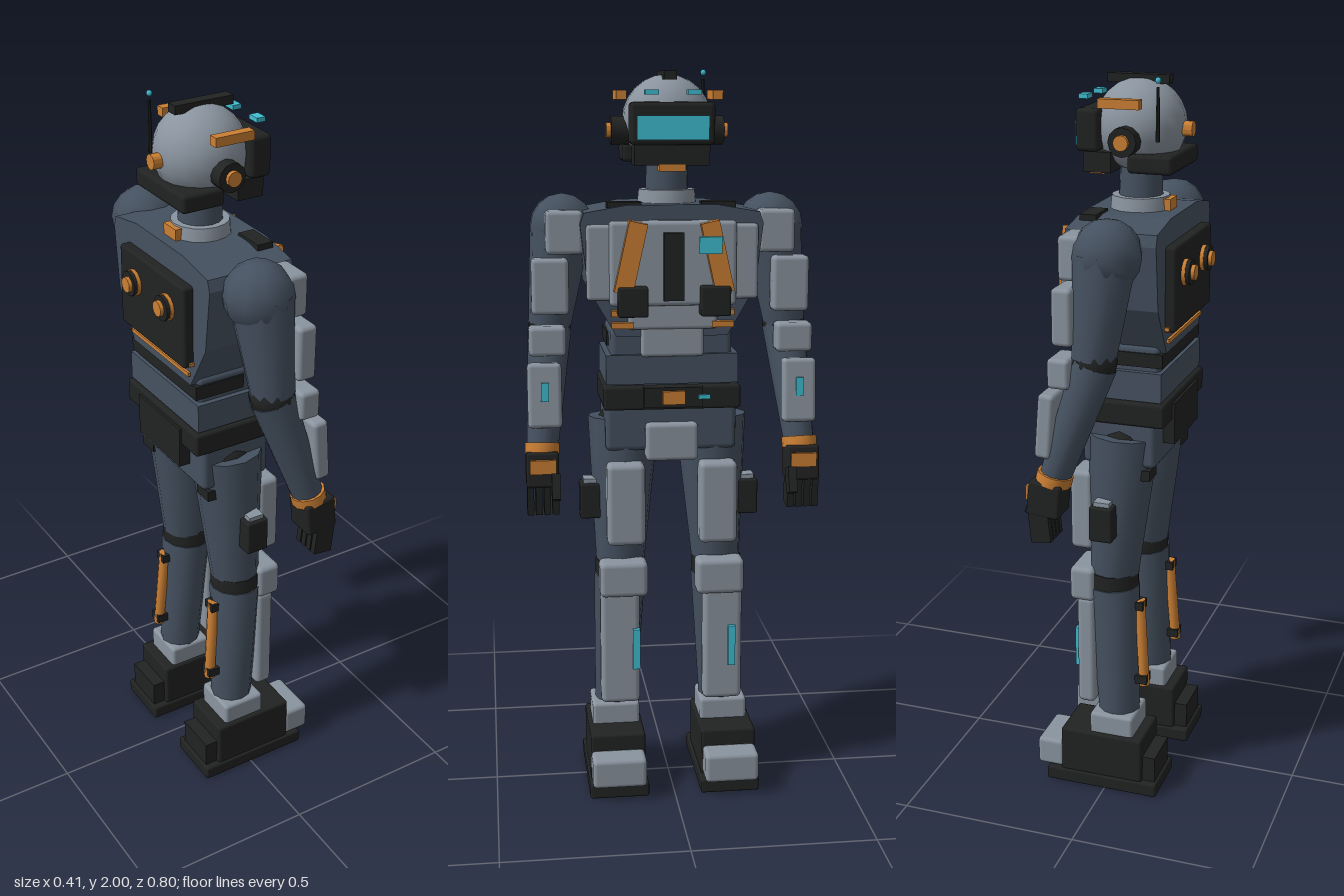
import * as THREE from 'three';
import { RoundedBoxGeometry } from 'three/addons/geometries/RoundedBoxGeometry.js';
import { toCreasedNormals } from 'three/addons/utils/BufferGeometryUtils.js';

const mat = (name, color) => {
  const m = new THREE.MeshStandardMaterial({ color });
  m.name = name;
  return m;
};

// The robot faces +x, so z runs across its body.
export function createModel() {
  const slate = mat('slate suit', 0x455160);
  const grey = mat('grey armour', 0x8a949f);
  const black = mat('black rubber', 0x212222);
  const orange = mat('orange trim', 0xcb7f33);
  const cyan = mat('cyan light', 0x40bfd4);
  const root = new THREE.Group();
  root.name = 'robot';

  const add = (parent, name, geo, m) => {
    const mesh = new THREE.Mesh(geo, m);
    mesh.name = name;
    parent.add(mesh);
    return mesh;
  };
  // Box given by its limits on x, y and z; a positive r rounds its edges
  const box = (p, name, m, [x0, x1], [y0, y1], [z0, z1], r = 0) => {
    const s = [x1 - x0, y1 - y0, Math.abs(z1 - z0)];
    const geo = r ? new RoundedBoxGeometry(...s, 2, r) : new THREE.BoxGeometry(...s);
    const mesh = add(p, name, geo, m);
    mesh.position.set((x0 + x1) / 2, (y0 + y1) / 2, (z0 + z1) / 2);
    return mesh;
  };
  // Tapered cylinder from point a to point b
  const limb = (p, name, m, a, b, ra, rb, sides = 12) => {
    const A = new THREE.Vector3(...a), B = new THREE.Vector3(...b);
    const d = B.clone().sub(A);
    const geo = toCreasedNormals(new THREE.CylinderGeometry(rb, ra, d.length(), sides), 0.8);
    const mesh = add(p, name, geo, m);
    mesh.position.copy(A).add(B).multiplyScalar(0.5);
    mesh.quaternion.setFromUnitVectors(new THREE.Vector3(0, 1, 0), d.normalize());
    return mesh;
  };
  const group = (name) => {
    const g = new THREE.Group();
    g.name = name;
    root.add(g);
    return g;
  };

  // Head
  const head = group('head');
  const skull = add(head, 'skull', new THREE.SphereGeometry(0.121, 18, 12), grey);
  skull.position.set(-0.03, 1.866, 0);
  box(head, 'crest', black, [-0.11, 0.057], [1.972, 1.995], [-0.017, 0.017]);
  box(head, 'visorFrame', black, [0.05, 0.112], [1.805, 1.915], [-0.112, 0.112], 0.012);
  box(head, 'visorGlass', cyan, [0.11, 0.117], [1.818, 1.88], [-0.095, 0.095]);
  box(head, 'jaw', black, [0.02, 0.095], [1.752, 1.805], [-0.1, 0.1]);
  box(head, 'mouth', orange, [0.06, 0.1], [1.737, 1.756], [-0.035, 0.035]);
  box(head, 'napeGuard', black, [-0.15, -0.03], [1.757, 1.805], [-0.12, 0.12], 0.01);
  limb(head, 'napePort', orange, [-0.14, 1.86, 0], [-0.172, 1.86, 0], 0.02, 0.02);
  limb(head, 'antenna', black, [-0.11, 1.84, -0.11], [-0.11, 1.975, -0.11], 0.006, 0.004, 8);
  add(head, 'antennaTip', new THREE.SphereGeometry(0.008, 8, 6), cyan).position.set(-0.11, 1.992, -0.11);
  for (const s of [1, -1]) {
    limb(head, 'ear', black, [-0.028, 1.84, s * 0.09], [-0.028, 1.84, s * 0.152], 0.038, 0.038);
    limb(head, 'earHub', orange, [-0.028, 1.84, s * 0.15], [-0.028, 1.84, s * 0.164], 0.02, 0.02);
    box(head, 'sideStripe', orange, [-0.07, 0.04], [1.921, 1.945], [s * 0.115, s * 0.142]);
    box(head, 'browLight', cyan, [0.09, 0.115], [1.934, 1.946], [s * 0.038, s * 0.074]);
  }

  // Neck
  const neck = group('neck');
  limb(neck, 'neckColumn', slate, [-0.03, 1.64, 0], [-0.03, 1.78, 0], 0.06, 0.055, 14);
  limb(neck, 'collar', grey, [-0.03, 1.61, 0], [-0.03, 1.685, 0], 0.085, 0.077, 16);
  box(neck, 'collarClip', orange, [-0.12, -0.09], [1.645, 1.68], [-0.03, 0.03]);

  // Torso, extruded along x from its outline
  const torso = group('torso');
  const outline = [[0.12, 1.65], [0.235, 1.63], [0.245, 1.6], [0.225, 1.43], [0.15, 1.3]];
  const shape = new THREE.Shape();
  shape.moveTo(...outline[0]);
  outline.slice(1).forEach((q) => shape.lineTo(...q));
  [...outline].reverse().forEach(([z, y]) => shape.lineTo(-z, y));
  const chestGeo = new THREE.ExtrudeGeometry(shape, { depth: 0.245, bevelEnabled: false });
  chestGeo.rotateY(Math.PI / 2).translate(-0.15, 0, 0);
  add(torso, 'chest', chestGeo, slate);
  box(torso, 'sternum', black, [0.11, 0.136], [1.4, 1.58], [-0.027, 0.027]);
  box(torso, 'breastPlate', grey, [0.08, 0.125], [1.385, 1.61], [-0.17, 0.17], 0.012);
  box(torso, 'bellyPlate', grey, [0.06, 0.11], [1.32, 1.4], [-0.12, 0.12], 0.01);
  box(torso, 'lowerBellyPlate', grey, [0.06, 0.105], [1.245, 1.34], [-0.085, 0.085], 0.01);
  box(torso, 'chestLight', cyan, [0.145, 0.153], [1.525, 1.57], [-0.126, -0.065]);
  box(torso, 'backpack', black, [-0.178, -0.12], [1.36, 1.585], [-0.165, 0.165], 0.008);
  box(torso, 'backStripe', orange, [-0.163, -0.06], [1.365, 1.375], [-0.17, 0.17]);
  box(torso, 'lowerBackStripe', orange, [-0.157, -0.06], [1.327, 1.338], [-0.15, 0.15]);
  for (const s of [1, -1]) {
    box(torso, 'sidePlate', grey, [0.07, 0.112], [1.4, 1.6], [s * 0.16, s * 0.23], 0.01);
    const strap = box(torso, 'strap', orange, [0.11, 0.147], [1.42, 1.61], [s * 0.09, s * 0.14]);
    strap.rotation.x = -s * 0.22;
    box(torso, 'chestPouch', black, [0.1, 0.158], [1.36, 1.44], [s * 0.07, s * 0.15], 0.006);
    box(torso, 'shoulderClip', black, [0.035, 0.08], [1.6, 1.657], [s * 0.08, s * 0.172]);
    for (const y of [1.365, 1.333]) {
      box(torso, 'ribStripe', orange, [0.07, 0.115], [y - 0.008, y + 0.008], [s * 0.105, s * 0.165]);
    }
    limb(torso, 'packPlate', orange, [-0.17, 1.505, s * 0.085], [-0.188, 1.505, s * 0.085], 0.036, 0.036);
    limb(torso, 'packDial', black, [-0.18, 1.505, s * 0.085], [-0.198, 1.505, s * 0.085], 0.034, 0.034);
    limb(torso, 'packKnob', orange, [-0.19, 1.505, s * 0.082], [-0.208, 1.505, s * 0.082], 0.021, 0.021);
  }

  // Waist, belt and pelvis
  const hips = group('hips');
  box(hips, 'waist', slate, [-0.135, 0.08], [1.15, 1.32], [-0.165, 0.165], 0.015);
  box(hips, 'waistBand', black, [-0.145, 0.0], [1.262, 1.3], [-0.17, 0.17]);
  box(hips, 'lowerWaist', slate, [-0.145, 0.095], [1.17, 1.25], [-0.18, 0.18]);
  box(hips, 'belt', black, [-0.155, 0.105], [1.1, 1.165], [-0.187, 0.187], 0.008);
  box(hips, 'backPouch', black, [-0.162, -0.08], [1.035, 1.15], [-0.11, 0.11]);
  box(hips, 'buckleBase', black, [0.09, 0.125], [1.11, 1.165], [-0.08, 0.08]);
  box(hips, 'buckle', orange, [0.11, 0.137], [1.12, 1.156], [-0.03, 0.03]);
  box(hips, 'beltLight', cyan, [0.12, 0.13], [1.132, 1.144], [-0.1, -0.068]);
  box(hips, 'pelvis', slate, [-0.13, 0.075], [0.98, 1.11], [-0.18, 0.18], 0.015);
  box(hips, 'groinPlate', grey, [0.04, 0.1], [0.955, 1.06], [-0.072, 0.072], 0.012);

  for (const s of [1, -1]) {
    const side = s > 0 ? 'right' : 'left';

    // Arm
    const arm = group(side + 'Arm');
    const ball = add(arm, 'shoulder', new THREE.SphereGeometry(0.092, 10, 8), slate);
    ball.position.set(-0.035, 1.583, s * 0.285);
    limb(arm, 'upperArm', slate, [-0.03, 1.58, s * 0.29], [-0.012, 1.32, s * 0.325], 0.083, 0.058);
    box(arm, 'shoulderPad', grey, [0.02, 0.08], [1.52, 1.635], [s * 0.235, s * 0.335], 0.012);
    box(arm, 'bicepPlate', grey, [0.03, 0.085], [1.36, 1.51], [s * 0.275, s * 0.375], 0.012);
    add(arm, 'elbow', new THREE.SphereGeometry(0.06, 10, 8), black).position.set(-0.015, 1.315, s * 0.325);
    box(arm, 'elbowPad', grey, [0.035, 0.095], [1.25, 1.33], [s * 0.285, s * 0.385], 0.012);
    limb(arm, 'forearm', slate, [-0.015, 1.31, s * 0.325], [0.088, 1.0, s * 0.353], 0.06, 0.042);
    box(arm, 'forearmPlate', grey, [0.08, 0.125], [1.06, 1.235], [s * 0.3, s * 0.392], 0.012).rotation.z = 0.08;
    box(arm, 'forearmLight', cyan, [0.12, 0.13], [1.135, 1.185], [s * 0.335, s * 0.356]);
    limb(arm, 'wristRing', orange, [0.085, 1.013, s * 0.354], [0.092, 0.985, s * 0.355], 0.048, 0.048);
    box(arm, 'palm', black, [0.06, 0.15], [0.9, 0.995], [s * 0.312, s * 0.4], 0.008).rotation.z = 0.1;
    box(arm, 'knucklePlate', orange, [0.13, 0.157], [0.942, 0.98], [s * 0.32, s * 0.39]);
    for (let i = 0; i < 4; i++) {
      const z = 0.322 + i * 0.0225;
      box(arm, 'finger', black, [0.09, 0.145], [0.828, 0.925], [s * (z - 0.009), s * (z + 0.009)]).rotation.z = -0.1;
    }
    box(arm, 'thumb', black, [0.13, 0.175], [0.87, 0.94], [s * 0.31, s * 0.333]).rotation.z = 0.35;

    // Leg
    const leg = group(side + 'Leg');
    add(leg, 'hipJoint', new THREE.SphereGeometry(0.075, 12, 8), black).position.set(-0.03, 1.03, s * 0.125);
    limb(leg, 'thigh', slate, [0.0, 0.62, s * 0.137], [-0.025, 1.06, s * 0.122], 0.066, 0.1);
    box(leg, 'thighPlate', grey, [0.05, 0.115], [0.72, 0.95], [s * 0.075, s * 0.18], 0.015);
    box(leg, 'thighPouch', black, [-0.03, 0.035], [0.78, 0.88], [s * 0.18, s * 0.25], 0.006);
    box(leg, 'pouchFlap', grey, [-0.02, 0.025], [0.868, 0.892], [s * 0.19, s * 0.24]);
    box(leg, 'thighClip', black, [-0.115, -0.075], [0.945, 0.975], [s * 0.12, s * 0.18]);
    limb(leg, 'kneeBand', black, [0.0, 0.595, s * 0.137], [0.0, 0.655, s * 0.137], 0.07, 0.07);
    box(leg, 'kneePad', grey, [0.04, 0.112], [0.57, 0.67], [s * 0.068, s * 0.202], 0.015);
    limb(leg, 'shin', slate, [-0.02, 0.2, s * 0.152], [0.0, 0.61, s * 0.138], 0.058, 0.073);
    box(leg, 'shinPlate', grey, [0.04, 0.092], [0.25, 0.58], [s * 0.09, s * 0.2], 0.015);
    const lightZ = s * 0.135 - 0.034;
    box(leg, 'shinLight', cyan, [0.088, 0.104], [0.355, 0.472], [lightZ - 0.01, lightZ + 0.01]);
    limb(leg, 'calfPiston', orange, [-0.093, 0.31, s * 0.15], [-0.075, 0.57, s * 0.14], 0.016, 0.016, 8);
    box(leg, 'pistonMount', black, [-0.105, -0.04], [0.32, 0.345], [s * 0.13, s * 0.17]);
    box(leg, 'upperPistonMount', black, [-0.09, -0.04], [0.545, 0.57], [s * 0.12, s * 0.16]);

    // Foot
    const foot = group(side + 'Foot');
    box(foot, 'ankle', grey, [-0.08, 0.048], [0.16, 0.232], [s * 0.088, s * 0.222], 0.01);
    box(foot, 'boot', black, [-0.11, 0.132], [0.035, 0.172], [s * 0.08, s * 0.234], 0.008);
    box(foot, 'heel', black, [-0.147, -0.1], [0.035, 0.115], [s * 0.095, s * 0.22]);
    box(foot, 'sole', black, [-0.155, 0.175], [0, 0.04], [s * 0.074, s * 0.24], 0.006);
    box(foot, 'toeCap', grey, [0.125, 0.205], [0.043, 0.126], [s * 0.083, s * 0.234], 0.012);
  }
  return root;
}
